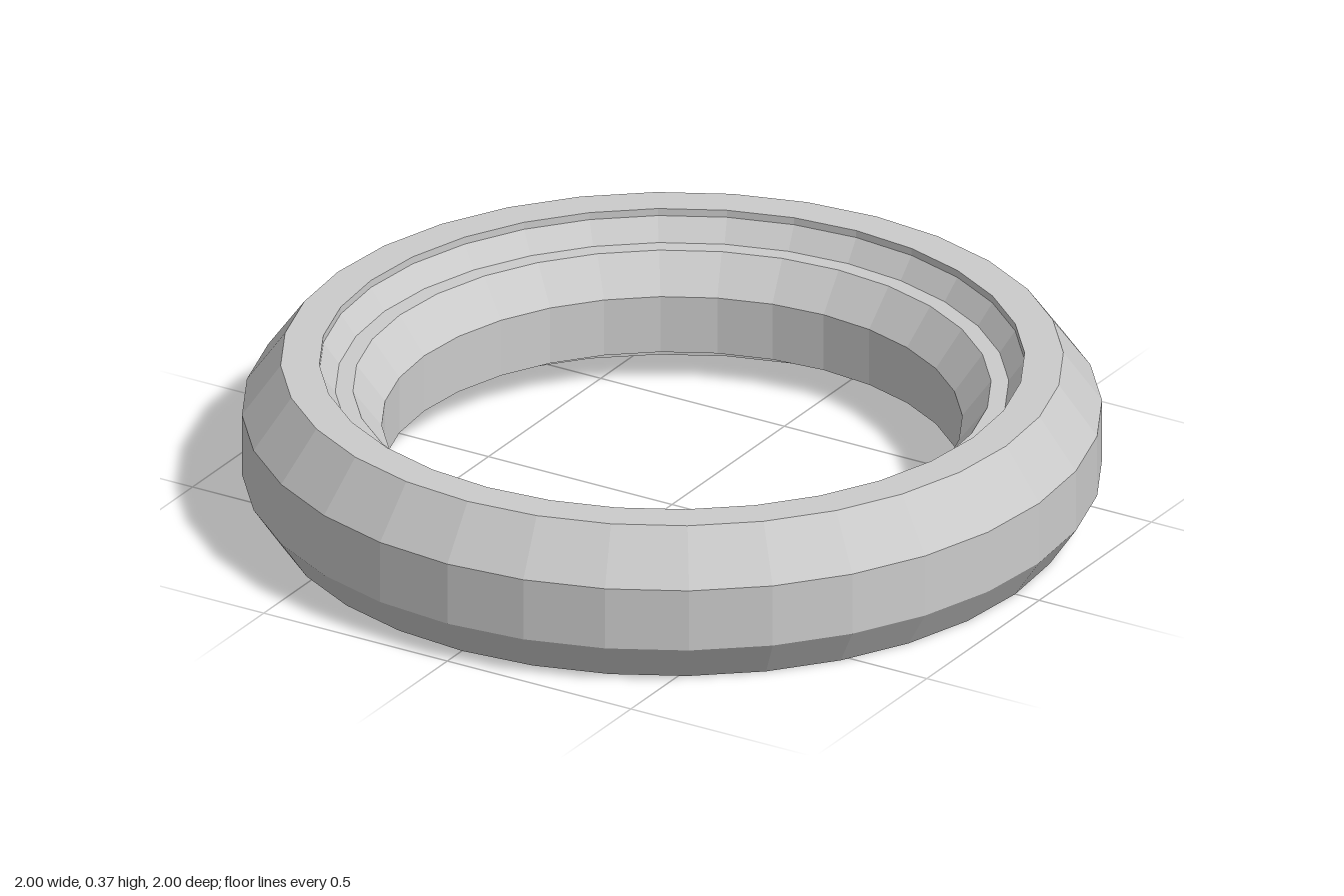
import * as THREE from 'three';

export function createModel() {
  const group = new THREE.Group();

  // Closed ring section [radius, height]: up the outside, down the stepped inside
  const section = [
    [0.935, 0], [1, 0.096], [1, 0.249], [0.91, 0.374],   // outer bevels and rim
    [0.82, 0.374], [0.82, 0.356],                        // top face and short lip
    [0.783, 0.304], [0.742, 0.304],                      // sloped seat and ledge
    [0.675, 0.216], [0.675, 0.074],                      // funnel and bore
    [0.818, 0.074], [0.818, 0], [0.935, 0],              // underside recess and foot
  ].map(([r, y]) => new THREE.Vector2(r, y));

  const ring = new THREE.Mesh(
    new THREE.LatheGeometry(section, 32),
    new THREE.MeshStandardMaterial({ color: 0xcccccc, flatShading: true })
  );
  ring.name = 'ring';
  group.add(ring);
  return group;
}
